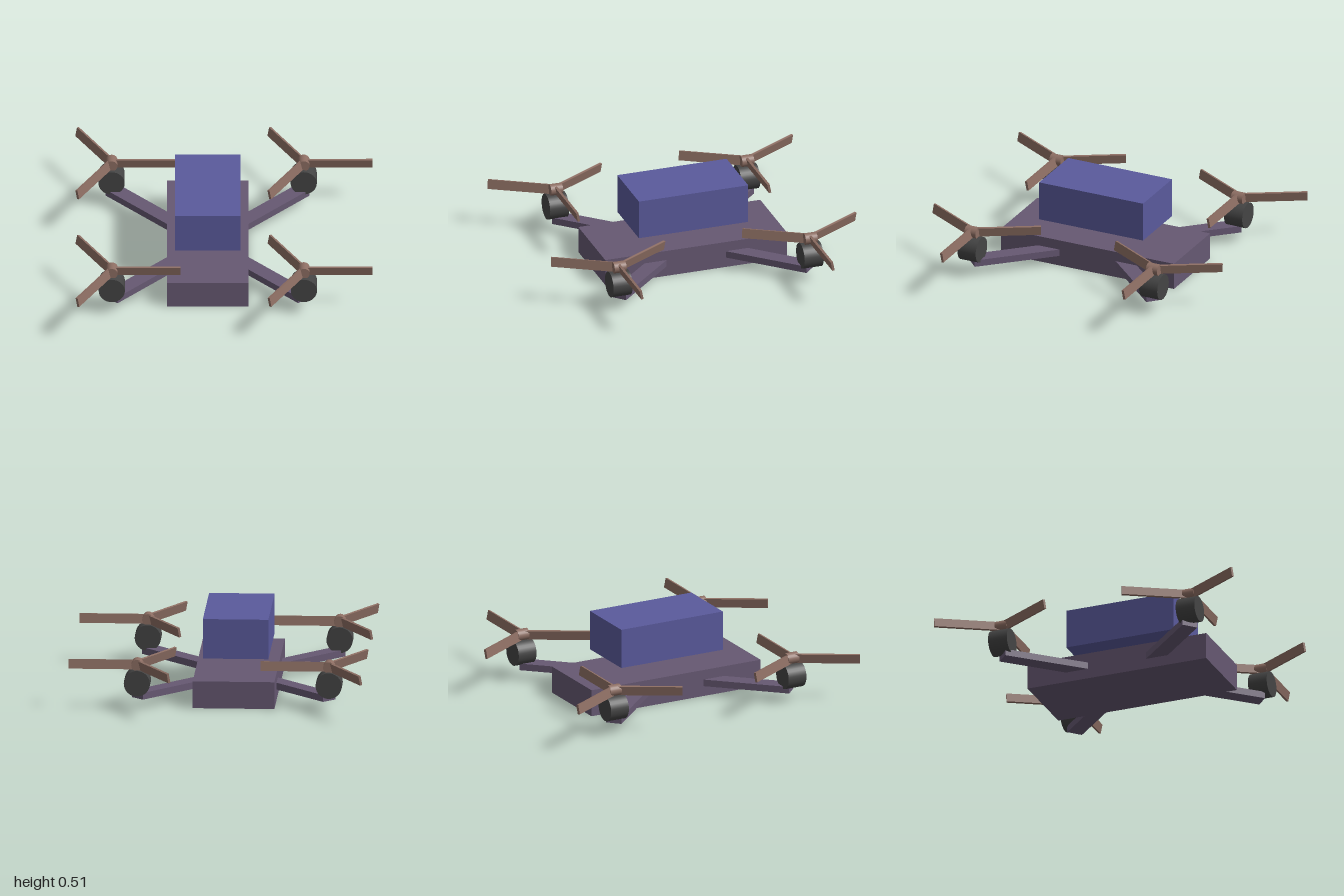
import * as THREE from 'three';

const material = (color) => new THREE.MeshStandardMaterial({ color });

export function createModel() {
  const model = new THREE.Group();
  model.name = 'quadcopter';

  const frameMat = material(0x665872);
  const boxMat = material(0x5a5a9c);
  const motorMat = material(0x444444);
  const propMat = material(0x8d6e63);

  const add = (parent, name, geometry, mat, x, y, z) => {
    const mesh = new THREE.Mesh(geometry, mat);
    mesh.name = name;
    mesh.position.set(x, y, z);
    parent.add(mesh);
    return mesh;
  };

  const cx = -0.102; // the body sits off centre, the propellers reach further on +x

  // Body slab and the box floating above it
  add(model, 'body', new THREE.BoxGeometry(0.505, 0.17, 1.19), frameMat, cx, 0.085, 0);
  add(model, 'topBox', new THREE.BoxGeometry(0.405, 0.25, 0.715), boxMat, cx, 0.385, 0);

  // Shared geometries; motors and hubs lie along z
  const dx = 0.593, dz = 0.625;
  const armLength = Math.hypot(dx, dz);
  const armGeo = new THREE.BoxGeometry(armLength, 0.043, 0.1).translate(armLength / 2, 0, 0);
  const motorGeo = new THREE.CylinderGeometry(0.081, 0.081, 0.125, 32).rotateX(Math.PI / 2);
  const hubGeo = new THREE.CylinderGeometry(0.036, 0.036, 0.078, 24).rotateX(Math.PI / 2);
  // Blade pitched about its own length
  const bladeGeo = new THREE.BoxGeometry(0.425, 0.06, 0.015).rotateX(0.2).translate(0.2125, 0, 0);

  for (const sx of [-1, 1]) {
    for (const sz of [-1, 1]) {
      const x = cx + sx * dx, z = sz * dz;

      // Arm from the body's middle to the motor
      const arm = add(model, 'arm', armGeo, frameMat, cx, 0.086, 0);
      arm.rotation.y = Math.atan2(-z, sx * dx);

      add(model, 'motor', motorGeo, motorMat, x, 0.171, z);

      // Three-bladed propeller
      const propeller = new THREE.Group();
      propeller.name = 'propeller';
      propeller.position.set(x, 0.279, z);
      model.add(propeller);
      add(propeller, 'hub', hubGeo, propMat, 0, 0.002, 0);
      for (let i = 0; i < 3; i++) {
        add(propeller, 'blade', bladeGeo, propMat, 0, 0, 0).rotation.y = (i * Math.PI * 2) / 3;
      }
    }
  }
  return model;
}
